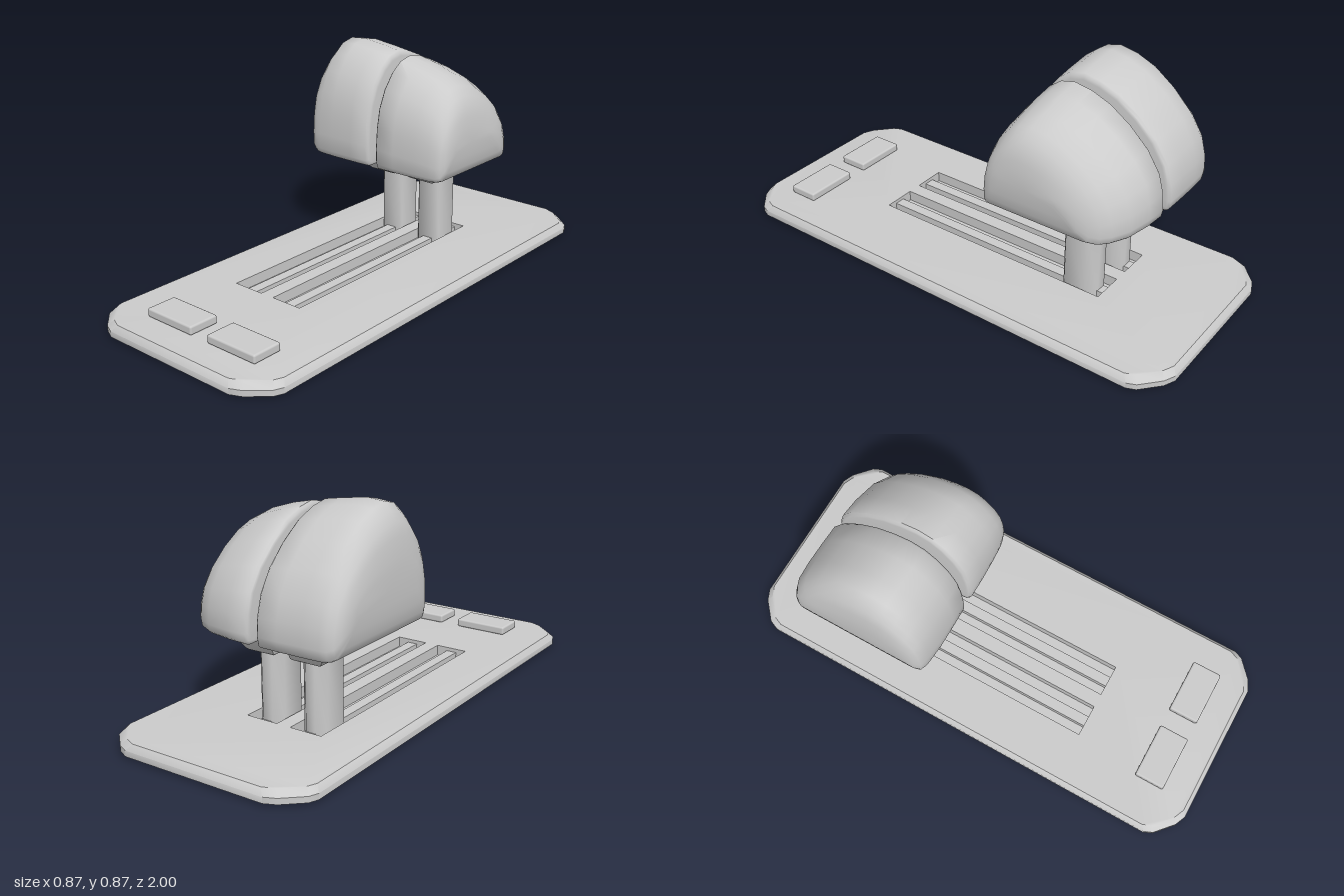
import * as THREE from 'three';
import { toCreasedNormals } from 'three/addons/utils/BufferGeometryUtils.js';
import { RoundedBoxGeometry } from 'three/addons/geometries/RoundedBoxGeometry.js';

const grey = new THREE.MeshStandardMaterial({ color: 0xcccccc });
const greyOpen = new THREE.MeshStandardMaterial({ color: 0xcccccc, side: THREE.DoubleSide });

function add(parent, name, geometry, x = 0, y = 0, z = 0) {
  const mesh = new THREE.Mesh(geometry, grey);
  mesh.name = name;
  mesh.position.set(x, y, z);
  parent.add(mesh);
  return mesh;
}

function box(parent, name, x0, x1, y0, y1, z0, z1, radius = 0) {
  const size = [x1 - x0, y1 - y0, z1 - z0];
  const geo = radius ? new RoundedBoxGeometry(...size, 2, radius) : new THREE.BoxGeometry(...size);
  return add(parent, name, geo, (x0 + x1) / 2, (y0 + y1) / 2, (z0 + z1) / 2);
}

// Shape points are (x, -z); the extrusion becomes height
const outline = (pts) => pts.map(([x, z]) => new THREE.Vector2(x, -z));

// Skins a list of equal-sized rings and closes both ends.
// Rings run clockwise seen from the end the list moves towards.
function loft(rings, crease) {
  const n = rings[0].length;
  const pos = [];
  const tri = (...pts) => pts.forEach((p) => pos.push(...p));
  for (let i = 0; i < rings.length - 1; i++) {
    for (let j = 0; j < n; j++) {
      const k = (j + 1) % n;
      const a = rings[i][j], b = rings[i][k], c = rings[i + 1][j], d = rings[i + 1][k];
      tri(a, c, b);
      tri(b, c, d);
    }
  }
  for (const [ring, last] of [[rings[0], false], [rings[rings.length - 1], true]]) {
    const mid = [0, 1, 2].map((c) => ring.reduce((s, p) => s + p[c], 0) / n);
    for (let j = 0; j < n; j++) {
      const k = (j + 1) % n;
      if (last) tri(mid, ring[k], ring[j]);
      else tri(mid, ring[j], ring[k]);
    }
  }
  const geo = new THREE.BufferGeometry();
  geo.setAttribute('position', new THREE.Float32BufferAttribute(pos, 3));
  return toCreasedNormals(geo, crease);
}

// Side profile of a grip: (0 front .. 1 back, 0 bottom .. 1 top)
const gripProfile = [
  [0.05, 0], [0.018, 0.014], [0.004, 0.06], [0, 0.2], [0.01, 0.4], [0.035, 0.58], [0.09, 0.75],
  [0.17, 0.89], [0.25, 0.97], [0.35, 1], [0.47, 0.97], [0.6, 0.9], [0.74, 0.77],
  [0.87, 0.6], [0.955, 0.42], [0.99, 0.25], [1, 0.1], [0.99, 0.03], [0.975, 0.01], [0.95, 0],
];

// Each section: [x, top, front z, back z, bottom]
function grip(sections) {
  return loft(sections.map(([x, top, zf, zb, bot]) =>
    gripProfile.map(([t, v]) => [x, bot + (top - bot) * v, zf + (zb - zf) * t])), 1.0);
}

const levers = [
  {
    side: 'right', slot: [-0.215, -0.08], post: [-0.2, -0.095],
    neckLow: [-0.217, -0.087], neckHigh: [-0.285, -0.085],
    sections: [
      [-0.4, 0.64, -0.24, -0.62, 0.53], [-0.397, 0.68, -0.2, -0.66, 0.485],
      [-0.389, 0.75, -0.17, -0.695, 0.44], [-0.376, 0.8, -0.153, -0.715, 0.408],
      [-0.355, 0.832, -0.146, -0.728, 0.397], [-0.33, 0.862, -0.142, -0.735, 0.395],
      [-0.26, 0.868, -0.136, -0.738, 0.395], [-0.16, 0.855, -0.135, -0.738, 0.395],
      [-0.08, 0.842, -0.136, -0.736, 0.395], [-0.071, 0.832, -0.144, -0.728, 0.4],
      [-0.069, 0.82, -0.155, -0.715, 0.408],
    ],
  },
  {
    side: 'left', slot: [-0.02, 0.115], post: [-0.01, 0.1],
    neckLow: [-0.015, 0.112], neckHigh: [-0.017, 0.18],
    sections: [
      [-0.032, 0.808, -0.155, -0.715, 0.408], [-0.03, 0.82, -0.144, -0.728, 0.4],
      [-0.021, 0.83, -0.136, -0.736, 0.395], [0.06, 0.812, -0.135, -0.73, 0.395],
      [0.16, 0.78, -0.138, -0.71, 0.395], [0.225, 0.747, -0.143, -0.675, 0.395],
      [0.255, 0.712, -0.15, -0.645, 0.396], [0.275, 0.68, -0.158, -0.61, 0.404],
      [0.287, 0.635, -0.175, -0.57, 0.435], [0.293, 0.595, -0.2, -0.53, 0.475],
      [0.296, 0.565, -0.23, -0.48, 0.51],
    ],
  },
];

// Hollow plate, open underneath, with two long slots and a bevelled rim
function plateGeometry(slotBack, slotFront) {
  const quarter = [[0.433, 0.88], [0.418, 0.915], [0.345, 0.98], [0.3, 1]];
  const mirrored = [...quarter].reverse();
  const shape = new THREE.Shape(outline([
    ...quarter,
    ...mirrored.map(([x, z]) => [-x, z]),
    ...quarter.map(([x, z]) => [-x, -z]),
    ...mirrored.map(([x, z]) => [x, -z]),
  ]));
  for (const { slot: [a, b] } of levers) {
    shape.holes.push(new THREE.Path(outline(
      [[a, slotFront], [b, slotFront], [b, slotBack], [a, slotBack]])));
  }
  const solid = new THREE.ExtrudeGeometry(shape, { depth: 0.045, steps: 2, bevelEnabled: false });
  const p = solid.rotateX(-Math.PI / 2).attributes.position;
  const pos = [];
  for (let i = 0; i < p.count; i += 3) {
    const corners = [i, i + 1, i + 2].map((k) => new THREE.Vector3().fromBufferAttribute(p, k));
    if (corners.every((c) => c.y < 0.01)) continue; // leave out the underside
    for (const { x, y, z } of corners) {
      const rim = y > 0.04 && (Math.abs(x) > 0.28 || Math.abs(z) > 0.8) ? 0.018 : 0;
      pos.push(x - Math.sign(x) * rim, y, z - Math.sign(z) * rim);
    }
  }
  const shell = new THREE.BufferGeometry();
  shell.setAttribute('position', new THREE.Float32BufferAttribute(pos, 3));
  return toCreasedNormals(shell, 0.75);
}

export function createModel() {
  const model = new THREE.Group();
  model.name = 'leverPanel';
  const slotBack = -0.57, slotFront = 0.47;

  add(model, 'basePlate', plateGeometry(slotBack, slotFront), 0, 0.01, 0).material = greyOpen;

  for (const { side, slot, post, neckLow, neckHigh, sections } of levers) {
    const lever = new THREE.Group();
    lever.name = `${side}Lever`;
    model.add(lever);

    // Slot floor with a raised centre rail
    const mid = (slot[0] + slot[1]) / 2;
    box(model, `${side}SlotFloor`, slot[0], slot[1], 0.01, 0.012, slotBack, slotFront);
    box(model, `${side}SlotRail`, mid - 0.022, mid + 0.022, 0.012, 0.04, slotBack, slotFront);

    // Post with softened corners
    const [a, b] = post;
    const postShape = new THREE.Shape(outline([
      [a, -0.41], [a + 0.01, -0.4], [b - 0.01, -0.4], [b, -0.41],
      [b, -0.505], [b - 0.033, -0.54], [a + 0.033, -0.54], [a, -0.505],
    ]));
    const postGeo = new THREE.ExtrudeGeometry(postShape, { depth: 0.315, bevelEnabled: false });
    add(lever, 'post', toCreasedNormals(postGeo.rotateX(-Math.PI / 2), 0.9));

    // Flared neck under the grip
    const ring = ([x0, x1], y, z0, z1) => [[x1, y, z0], [x1, y, z1], [x0, y, z1], [x0, y, z0]];
    add(lever, 'neck', loft([
      ring([neckLow[0] + 0.006, neckLow[1] - 0.006], 0.31, -0.565, -0.345),
      ring(neckLow, 0.316, -0.572, -0.338),
      ring(neckHigh, 0.4, -0.612, -0.293),
    ], 0.8));

    add(lever, 'grip', grip(sections));
  }

  // Two raised buttons near the front edge
  for (const [name, x0, x1] of [['rightButton', -0.253, -0.023], ['leftButton', 0.058, 0.288]]) {
    box(model, name, x0, x1, 0.055, 0.09, 0.745, 0.87, 0.008);
  }
  return model;
}
